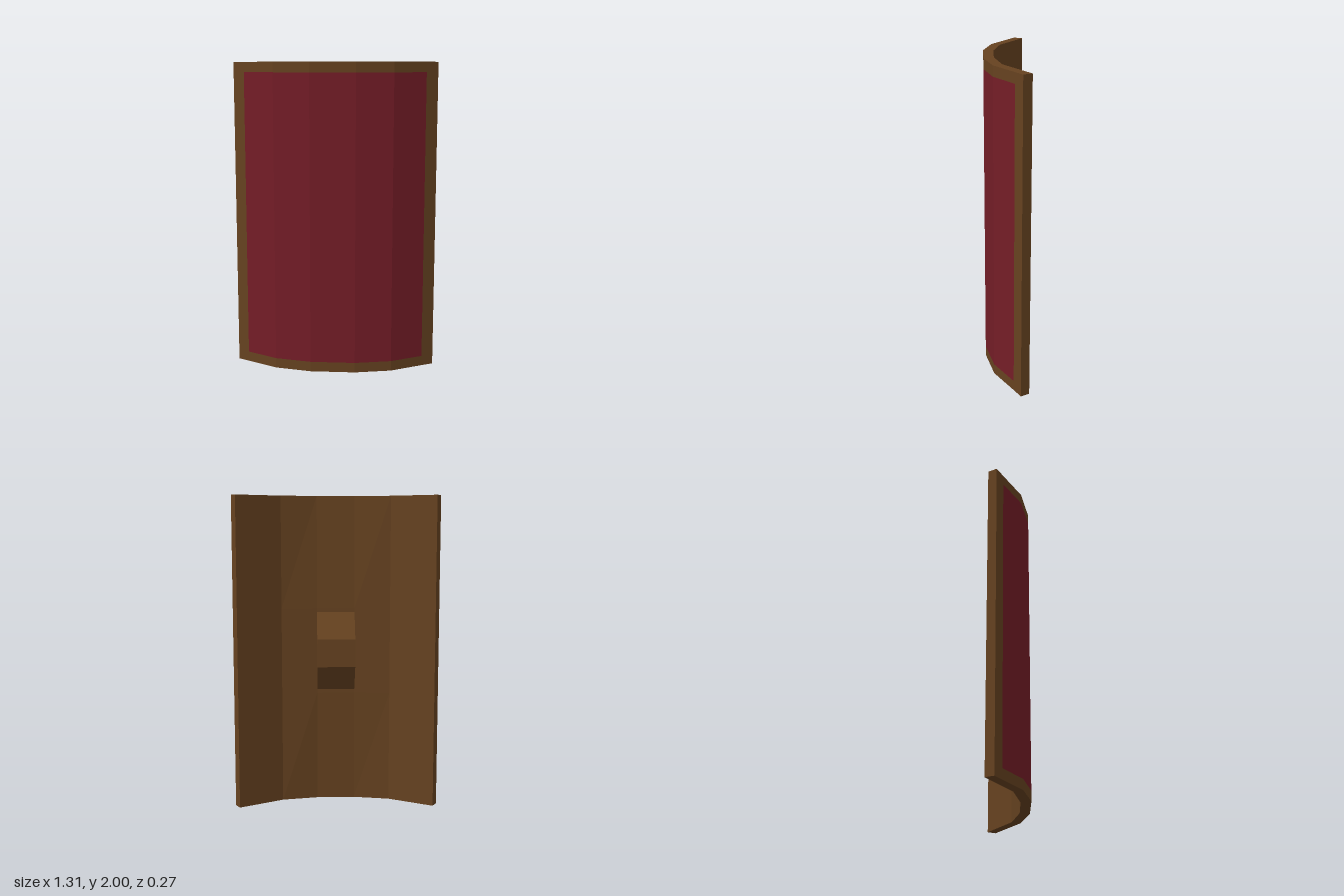
import * as THREE from 'three';
import { mergeGeometries } from 'three/addons/utils/BufferGeometryUtils.js';

const wood = new THREE.MeshStandardMaterial({ color: 0x664220, flatShading: true });
const red = new THREE.MeshStandardMaterial({ color: 0x741d27, flatShading: true });

// Mirror a half profile of [x, z] points into a full one running from -x to +x
const mirror = (half) => [...half.map(([x, z]) => [-x, z]).reverse(), ...half];
// Place a profile at height y
const at = (profile, y) => profile.map(([x, z]) => [x, y, z]);

// Faceted surface through rows of points; faces front when rows go up and points go right
function loft(rows) {
  const positions = [];
  for (let i = 0; i < rows.length - 1; i++) {
    for (let j = 0; j < rows[i].length - 1; j++) {
      const a = rows[i][j], b = rows[i][j + 1], c = rows[i + 1][j + 1], d = rows[i + 1][j];
      positions.push(...a, ...b, ...c, ...a, ...c, ...d);
    }
  }
  const geometry = new THREE.BufferGeometry();
  geometry.setAttribute('position', new THREE.Float32BufferAttribute(positions, 3));
  geometry.computeVertexNormals();
  return geometry;
}

export function createModel() {
  const group = new THREE.Group();
  const add = (name, geometry, material) => {
    const mesh = new THREE.Mesh(geometry, material);
    mesh.name = name;
    group.add(mesh);
  };

  const H = 2, bottom = 0.065, top = 1.935;
  const panelEnd = [0.583, -0.038], rim = [0.657, -0.08];
  const panel = mirror([[0.145, 0.133], [0.38, 0.08], panelEnd]);
  const front = mirror([[0.145, 0.133], [0.38, 0.08], rim]);
  const back = mirror([[0.122, 0.07], [0.352, 0.024], [0.627, -0.133]]);
  const backThick = mirror([[0.122, 0.05], [0.352, 0.024], [0.627, -0.133]]);
  const flip = ([x, z]) => [-x, z];

  // Painted front panel
  add('frontPanel', loft([at(panel, bottom), at(panel, top)]), red);

  // Wooden border around the panel
  const right = [panelEnd, rim], left = [flip(rim), flip(panelEnd)];
  const frontFull = mirror([[0.145, 0.133], [0.38, 0.08], panelEnd, rim]);
  add('frontBorder', mergeGeometries([
    loft([at(frontFull, 0), at(frontFull, bottom)]),
    loft([at(frontFull, top), at(frontFull, H)]),
    loft([at(right, bottom), at(right, top)]),
    loft([at(left, bottom), at(left, top)]),
  ]), wood);

  // Back board, slightly thicker behind the handle
  const backRows = [at(back, 0), at(backThick, 0.72), at(backThick, 1.28), at(back, H)];
  add('backBoard', loft(backRows.map((row) => row.reverse())), wood);

  // Edges all round
  const rightEdge = [front[5], back[5]], leftEdge = [back[0], front[0]];
  add('edges', mergeGeometries([
    loft([at(front, H), at(back, H)]),
    loft([at(back, 0), at(front, 0)]),
    loft([at(rightEdge, 0), at(rightEdge, H)]),
    loft([at(leftEdge, 0), at(leftEdge, H)]),
  ]), wood);

  // Bent strap handle: side outline as [z, y offset], open towards the board
  const outer = [[0.053, 0.26], [-0.073, 0.09]];
  const inner = [[-0.028, 0.075], [0.053, 0.195]];
  const half = [...outer, ...inner];
  const outline = [
    half[0], half[1], [half[1][0], -half[1][1]], [half[0][0], -half[0][1]],
    [half[3][0], -half[3][1]], [half[2][0], -half[2][1]], half[2], half[3],
  ];
  const shape = new THREE.Shape(outline.map(([z, y]) => new THREE.Vector2(z, y)));
  const handle = new THREE.ExtrudeGeometry(shape, { depth: 0.244, bevelEnabled: false });
  handle.rotateY(-Math.PI / 2).translate(0.122, 1, 0);
  add('handle', handle, wood);

  return group;
}
